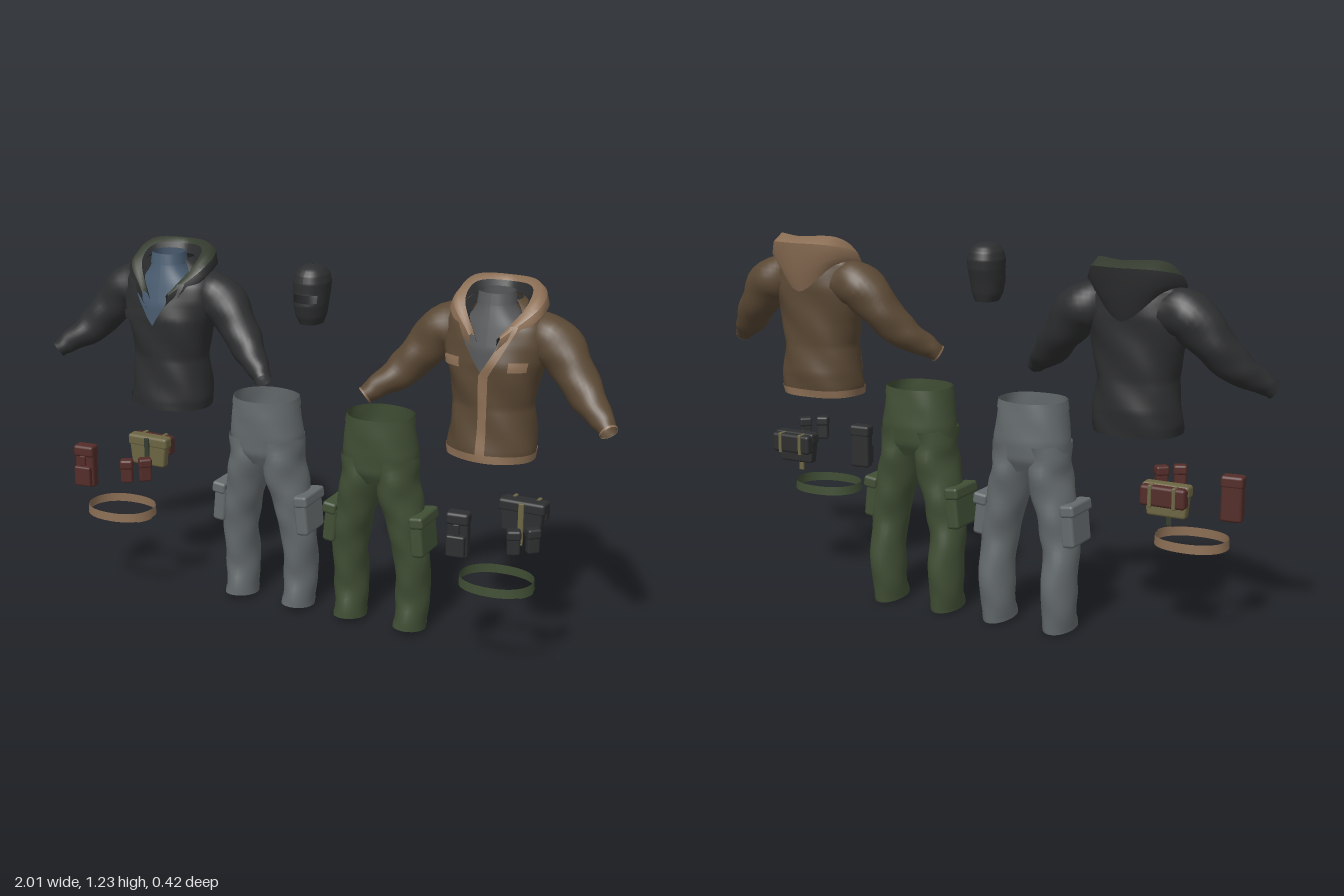
import * as THREE from 'three';
import { RoundedBoxGeometry } from 'three/addons/geometries/RoundedBoxGeometry.js';

const V = (x, y, z) => new THREE.Vector3(x, y, z);
const TAU = Math.PI * 2;
const paint = (name, color) =>
  new THREE.MeshStandardMaterial({ name, color, side: THREE.DoubleSide });

function add(group, name, geometry, material) {
  const mesh = new THREE.Mesh(geometry, material);
  mesh.name = name;
  group.add(mesh);
  return mesh;
}

// Skin a grid of points, optionally wrapping each ring
function loft(rings, closed) {
  const n = rings[0].length, index = [];
  for (let i = 0; i < rings.length - 1; i++) {
    for (let j = 0; j < (closed ? n : n - 1); j++) {
      const k = (j + 1) % n, a = i * n + j, b = i * n + k;
      index.push(a, a + n, b, b, a + n, b + n);
    }
  }
  const g = new THREE.BufferGeometry().setFromPoints(rings.flat());
  g.setIndex(index);
  g.computeVertexNormals();
  return g;
}

// Upright shell from rows of [y, half width, centre z, half depth]; angle 0 faces the front
function shell(rows, fold = 0) {
  return (a, y, off = 0) => {
    let i = 0;
    while (i < rows.length - 2 && y > rows[i + 1][0]) i++;
    const t = THREE.MathUtils.clamp((y - rows[i][0]) / (rows[i + 1][0] - rows[i][0]), 0, 1);
    const [, rx, cz, rz] = rows[i].map((v, k) => THREE.MathUtils.lerp(v, rows[i + 1][k], t));
    const o = off + fold * Math.sin(5 * a + 38 * y);
    const soft = v => Math.sign(v) * Math.abs(v) ** 0.9;
    return V((rx + o) * soft(Math.sin(a)), y, cz + (rz + o) * soft(Math.cos(a)));
  };
}

// Part of a shell between two heights and two angles (numbers or functions of y)
function patch(surface, y0, y1, a0, a1, off = 0, ny = 12, na = 36) {
  const at = (f, y) => (typeof f === 'function' ? f(y) : f);
  const rings = [];
  for (let i = 0; i <= ny; i++) {
    const y = y0 + (y1 - y0) * i / ny, ring = [];
    for (let j = 0; j <= na; j++) {
      ring.push(surface(at(a0, y) + (at(a1, y) - at(a0, y)) * j / na, y, off));
    }
    rings.push(ring);
  }
  return loft(rings, false);
}

// Open tube along points of [x, y, z, side radius, depth radius] with soft cloth folds
function limb(points, t0 = 0, t1 = 1, grow = 0, fold = 0.025) {
  const path = new THREE.CatmullRomCurve3(points.map(p => V(p[0], p[1], p[2])));
  const size = new THREE.CatmullRomCurve3(points.map(p => V(p[3], p[4] ?? p[3], 0)));
  const rings = [];
  for (let i = 0; i <= 28; i++) {
    const t = t0 + (t1 - t0) * i / 28, c = path.getPoint(t), r = size.getPoint(t);
    const dir = path.getTangent(t);
    const side = V().crossVectors(dir, V(0, 0, 1)).normalize();
    const deep = V().crossVectors(side, dir);
    rings.push(Array.from({ length: 28 }, (_, j) => {
      const a = j / 28 * TAU, k = 1 + fold * Math.sin(2 * a + 24 * t) + fold * Math.sin(3 * a - 31 * t);
      return c.clone().addScaledVector(side, Math.cos(a) * (r.x * k + grow))
        .addScaledVector(deep, Math.sin(a) * (r.y * k + grow));
    }));
  }
  return loft(rings, true);
}

function block(group, name, mat, [w, h, d], [x, y, z], turn = 0) {
  const mesh = add(group, name, new RoundedBoxGeometry(w, h, d, 2, Math.min(w, h, d) * 0.25), mat);
  mesh.position.set(x, y, z);
  mesh.rotation.y = turn;
  return mesh;
}

function jacket(x, body, trim, hoodOuter, hoodRim, lining, shirtMat) {
  const g = new THREE.Group();
  g.name = 'jacket';
  g.position.x = x;
  const torso = shell([
    [0.69, 0.138, -0.038, 0.108], [0.72, 0.143, -0.04, 0.11], [0.77, 0.138, -0.045, 0.11],
    [0.86, 0.128, -0.045, 0.103], [0.94, 0.142, -0.042, 0.107], [1.0, 0.157, -0.042, 0.108],
    [1.06, 0.168, -0.05, 0.102], [1.11, 0.168, -0.056, 0.09], [1.145, 0.15, -0.062, 0.078],
    [1.175, 0.1, -0.062, 0.066], [1.19, 0.075, -0.06, 0.06]], 0.0022);
  // Neck opening widens upward from its tip
  const open = k => y => Math.max(0, y - 0.965) * k + Math.max(0, y - 1.12) * 6;
  const left = open(2.9), right = open(3.9);
  add(g, 'jacketBody', patch(torso, 0.705, 1.19, left, y => TAU - right(y), 0, 44, 56), body);
  add(g, 'hem', patch(torso, 0.69, 0.715, 0, TAU, 0.003, 3, 56), trim);
  add(g, 'placket', patch(torso, 0.70, 1.12, y => left(y) - 0.06, y => left(y) + 0.1, 0.006, 30, 3),
    trim);
  for (const s of [-1, 1]) {
    const flap = patch(torso, 0.985, 1.015, s * 0.46, s * 0.9, 0.009, 3, 8);
    add(g, 'pocketFlap', flap, trim);
    add(g, 'lowerPocketWelt', patch(torso, 0.76, 0.83, s * 0.75, s * 0.8, 0.004, 4, 2), body);
    const arm = [[0.1, 1.08, -0.07, 0.068], [0.175, 1.065, -0.07, 0.077], [0.245, 0.99, -0.055, 0.066],
      [0.31, 0.915, -0.02, 0.054], [0.37, 0.87, 0.025, 0.037], [0.402, 0.842, 0.05, 0.027]]
      .map(p => [p[0] * s, ...p.slice(1)]);
    add(g, 'sleeve', limb(arm), body);
    add(g, 'cuff', limb(arm, 0.975, 1, 0.002), trim);
  }
  // Hood lying behind the neck: each line runs front, side, rear side, back
  const line = pts => {
    const half = pts.map(p => V(...p));
    const other = pts.slice(0, -1).reverse().map(p => V(-p[0], p[1], p[2]));
    return new THREE.CatmullRomCurve3([...half, ...other]).getPoints(48);
  };
  const rows = [
    [[0.03, 1.03, 0.06], [0.14, 1.13, -0.02], [0.115, 1.14, -0.125], [0, 1.05, -0.175]],
    [[0.045, 1.06, 0.06], [0.15, 1.15, -0.03], [0.125, 1.165, -0.145], [0, 1.12, -0.2]],
    [[0.05, 1.085, 0.055], [0.14, 1.17, -0.03], [0.115, 1.205, -0.15], [0, 1.215, -0.217]],
    [[0.045, 1.09, 0.05], [0.125, 1.182, -0.03], [0.108, 1.23, -0.115], [0, 1.232, -0.165]],
    [[0.035, 1.08, 0.045], [0.1, 1.175, -0.03], [0.09, 1.215, -0.1], [0, 1.215, -0.15]],
    [[0.03, 1.05, 0.035], [0.075, 1.14, -0.03], [0.07, 1.16, -0.09], [0, 1.15, -0.125]]].map(line);
  add(g, 'hood', loft(rows.slice(0, 3), false), hoodOuter);
  add(g, 'hoodRim', loft(rows.slice(2, 5), false), hoodRim);
  add(g, 'hoodLining', loft(rows.slice(4), false), lining);
  // Undershirt with an open collar
  const shirt = shell([[0.9, 0.11, -0.042, 0.085], [1.04, 0.125, -0.045, 0.088],
    [1.11, 0.105, -0.045, 0.074], [1.15, 0.068, -0.04, 0.06], [1.175, 0.056, -0.04, 0.054],
    [1.21, 0.052, -0.042, 0.05]]);
  add(g, 'shirt', patch(shirt, 0.9, 1.21, 0, TAU, 0, 24, 36), shirtMat);
  add(g, 'shirtCollar', patch(shirt, 1.175, 1.21, 0, TAU, 0.004, 3, 36), shirtMat);
  return g;
}

function trousers(x, mat) {
  const g = new THREE.Group();
  g.name = 'trousers';
  g.position.x = x;
  const hips = shell([[0.53, 0.1, -0.06, 0.07], [0.57, 0.126, -0.06, 0.092], [0.63, 0.127, -0.06, 0.097],
    [0.7, 0.117, -0.057, 0.096], [0.755, 0.109, -0.055, 0.092]], 0.001);
  add(g, 'hips', patch(hips, 0.53, 0.755, 0, TAU, 0, 20, 48), mat);
  add(g, 'waistband', patch(hips, 0.728, 0.755, 0, TAU, 0.003, 3, 48), mat);
  add(g, 'fly', patch(hips, 0.61, 0.73, 0, 0.12, 0.004, 6, 3), mat);
  for (const s of [-1, 1]) {
    const leg = [[0.062, 0.62, -0.06, 0.064, 0.093], [0.066, 0.52, -0.06, 0.066, 0.092],
      [0.092, 0.4, -0.065, 0.063, 0.08], [0.112, 0.28, -0.07, 0.058, 0.07],
      [0.113, 0.14, -0.085, 0.055, 0.071], [0.11, 0.02, -0.068, 0.052, 0.068]]
      .map(p => [p[0] * s, ...p.slice(1)]);
    add(g, 'leg', limb(leg), mat);
    add(g, 'legHem', limb(leg, 0.965, 1, 0.002), mat);
    // Cargo pocket on the outer thigh
    block(g, 'cargoPocket', mat, [0.045, 0.12, 0.13], [s * 0.156, 0.36, -0.06]).rotation.z = s * 0.1;
    block(g, 'cargoFlap', mat, [0.05, 0.04, 0.14], [s * 0.156, 0.42, -0.06]).rotation.z = s * 0.12;
  }
  return g;
}

function beltKit(x, main, pouch, strap, hanger, beltMat) {
  const g = new THREE.Group();
  g.name = 'beltKit';
  g.position.x = x;
  const belt = shell([[0.305, 0.12, 0.095, 0.095], [0.335, 0.118, 0.095, 0.094]]);
  add(g, 'belt', patch(belt, 0.305, 0.335, 0, TAU, 0, 2, 48), beltMat);
  add(g, 'beltOverlap', patch(belt, 0.304, 0.336, 0.9, 1.5, 0.004, 2, 10), beltMat);
  // Tall pouch with a flap and two pockets
  block(g, 'tallPouch', main, [0.07, 0.145, 0.04], [-0.12, 0.465, 0.125], 0.1);
  block(g, 'tallPouchFlap', main, [0.074, 0.04, 0.048], [-0.12, 0.522, 0.127], 0.1);
  block(g, 'tallPouchPocket', main, [0.06, 0.07, 0.026], [-0.119, 0.435, 0.148], 0.1);
  block(g, 'tallPouchTab', main, [0.02, 0.035, 0.01], [-0.117, 0.49, 0.152], 0.1);
  // Pair of small pouches following the belt
  for (const [px, pz, turn] of [[0.083, 0.183, 0.45], [0.13, 0.143, 0.75]]) {
    block(g, 'smallPouch', main, [0.04, 0.075, 0.028], [px, 0.495, pz], turn);
    block(g, 'smallPouchFlap', main, [0.044, 0.032, 0.036], [px, 0.522, pz], turn);
  }
  // Rear pouch with a strapped roll
  const rear = block(g, 'rearPouch', pouch, [0.14, 0.105, 0.035], [0.022, 0.487, -0.055]);
  const pos = rear.geometry.attributes.position;
  for (let i = 0; i < pos.count; i++) pos.setX(i, pos.getX(i) * (1 + pos.getY(i) * 1.6));
  rear.geometry.computeVertexNormals();
  block(g, 'rearFlap', pouch, [0.155, 0.04, 0.045], [0.022, 0.522, -0.058]);
  block(g, 'roll', main, [0.15, 0.065, 0.04], [0.022, 0.505, -0.085]);
  for (const s of [-1, 1]) {
    block(g, 'rollStrap', strap, [0.012, 0.07, 0.044], [0.022 + s * 0.04, 0.505, -0.086]);
  }
  block(g, 'hangingStrap', hanger, [0.018, 0.14, 0.008], [0.025, 0.468, -0.032]);
  return g;
}

function balaclava(x, mat) {
  const g = new THREE.Group();
  g.name = 'balaclava';
  g.position.x = x;
  const head = shell([[1.045, 0.036, 0.002, 0.045], [1.07, 0.047, 0.004, 0.055], [1.11, 0.053, 0.005, 0.064],
    [1.15, 0.056, -0.003, 0.067], [1.18, 0.058, -0.004, 0.068], [1.205, 0.052, -0.004, 0.061],
    [1.222, 0.039, -0.004, 0.046], [1.231, 0.024, -0.004, 0.028], [1.235, 0.001, -0.004, 0.001]]);
  add(g, 'neckAndChin', patch(head, 1.045, 1.118, 0, TAU), mat);
  add(g, 'headSides', patch(head, 1.118, 1.148, 0.85, TAU - 0.85, 0, 4), mat);
  add(g, 'crown', patch(head, 1.148, 1.235, 0, TAU, 0, 24), mat);
  add(g, 'upperEyeEdge', patch(head, 1.146, 1.154, -0.9, 0.9, 0.003, 2, 16), mat);
  add(g, 'lowerEyeEdge', patch(head, 1.112, 1.12, -0.9, 0.9, 0.003, 2, 16), mat);
  return g;
}

export function createModel() {
  const black = paint('charcoal', 0x2d2e2f), brown = paint('brown', 0x5a4834);
  const tan = paint('tan', 0x8c6f55), green = paint('green', 0x414f35);
  const grey = paint('grey', 0x646a6c), blue = paint('blue', 0x495c70);
  const maroon = paint('maroon', 0x532c28), khaki = paint('khaki', 0x6c6543);
  const darkGreen = paint('darkGreen', 0x353c2f), shirtGrey = paint('shirtGrey', 0x57595b);
  const model = new THREE.Group();
  model.name = 'clothingSet';
  model.add(
    jacket(-0.585, black, black, black, darkGreen, black, blue),
    jacket(0.583, brown, tan, tan, tan, black, shirtGrey),
    trousers(-0.23, grey),
    trousers(0.19, green),
    beltKit(-0.72, maroon, khaki, khaki, darkGreen, tan),
    beltKit(0.665, black, black, khaki, khaki, green),
    balaclava(-0.03, black));
  return model;
}
